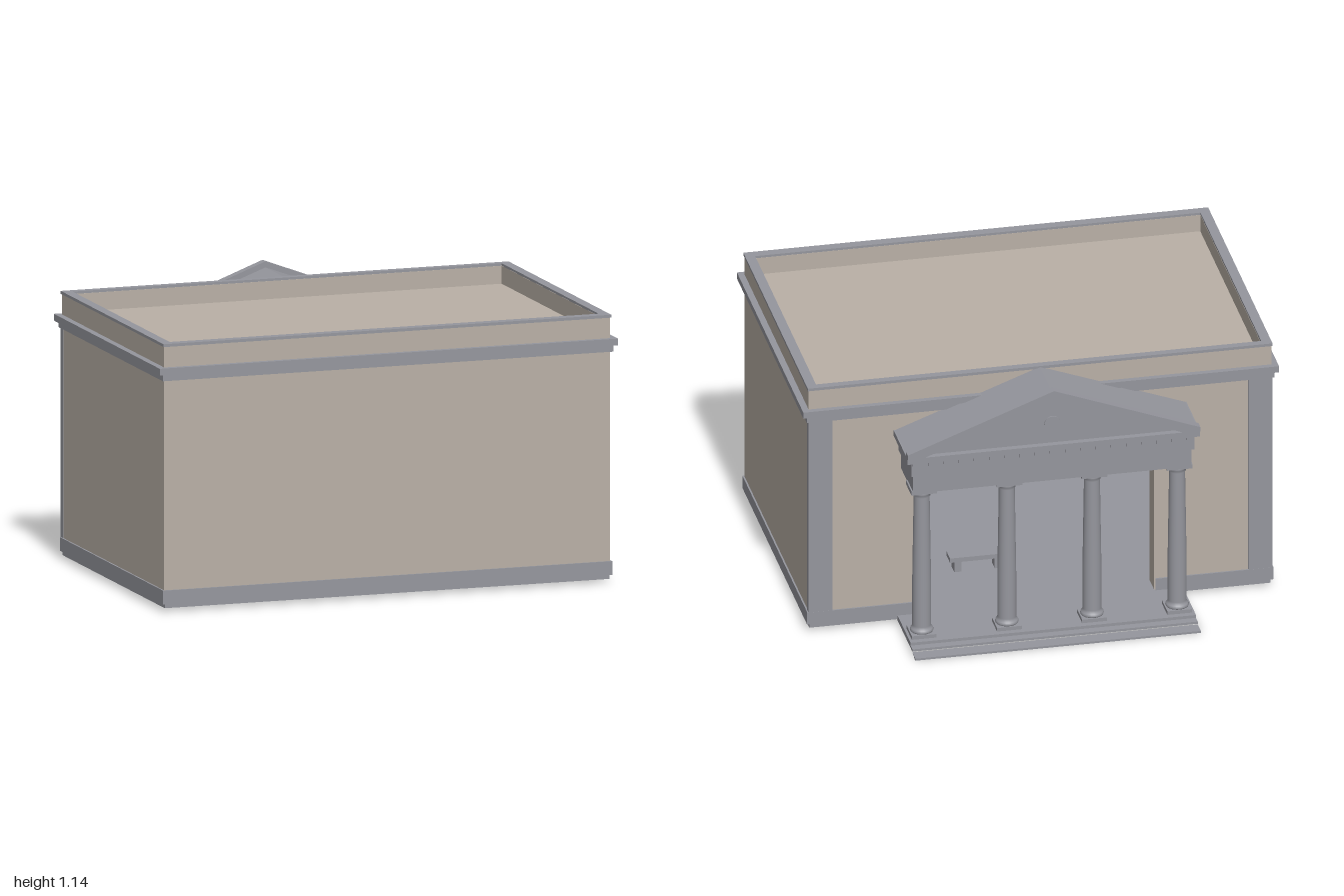
import * as THREE from 'three';

const mat = (name, color) => {
  const m = new THREE.MeshStandardMaterial({ color });
  m.name = name;
  return m;
};

export function createModel() {
  const model = new THREE.Group();
  model.name = 'porticoBuilding';
  const wall = mat('warm wall', 0xb9b0a6);
  const stone = mat('grey stone', 0x95969d);

  const add = (parent, name, geometry, material) => {
    const mesh = new THREE.Mesh(geometry, material);
    mesh.name = name;
    parent.add(mesh);
    return mesh;
  };
  // Box given by its limits on each axis
  const box = (parent, name, material, x0, x1, y0, y1, z0, z1) => {
    const mesh = add(parent, name, new THREE.BoxGeometry(x1 - x0, y1 - y0, z1 - z0), material);
    mesh.position.set((x0 + x1) / 2, (y0 + y1) / 2, (z0 + z1) / 2);
    return mesh;
  };
  const group = (name) => {
    const g = new THREE.Group();
    g.name = name;
    model.add(g);
    return g;
  };
  // Extrude an xy outline from z0 to z1
  const prism = (parent, name, material, points, z0, z1) => {
    const shape = new THREE.Shape(points.map(([x, y]) => new THREE.Vector2(x, y)));
    const geometry = new THREE.ExtrudeGeometry(shape, { depth: z1 - z0, bevelEnabled: false });
    return add(parent, name, geometry.translate(0, 0, z0), material);
  };

  // Main hall: hollow walls with a wide entrance at the back
  const hall = group('hall');
  const W = 0.973, zB = -0.462, zF = 0.79, door = 0.48;
  box(hall, 'frontWall', wall, -W, W, 0.035, 1.11, zF - 0.038, zF);
  for (const s of [-1, 1]) {
    const side = (name, material, a, b, ...rest) =>
      box(hall, name, material, Math.min(s * a, s * b), Math.max(s * a, s * b), ...rest);
    side('sideWall', wall, W - 0.038, W, 0.035, 1.11, zB, zF - 0.038);
    side('entranceWall', wall, door, W - 0.038, 0.035, 0.95, zB, zB + 0.09);
    side('cornerPilaster', stone, 0.875, W + 0.002, 0.09, 0.97, zB - 0.01, zB + 0.02);
    side('sidePlinth', stone, W - 0.02, 0.98, 0.033, 0.09, zB - 0.006, 0.797);
    side('entrancePlinth', stone, door + 0.005, 0.978, 0.033, 0.088, zB - 0.007, zB + 0.02);
    side('sideCoping', stone, 0.936, 0.977, 1.108, 1.12, -0.466, 0.794);
  }
  box(hall, 'entranceLintel', wall, -door, door, 0.76, 0.95, zB, zB + 0.09);
  box(hall, 'backParapet', wall, -W + 0.038, W - 0.038, 0.95, 1.11, zB, zB + 0.03);
  box(hall, 'frontPlinth', stone, -0.979, 0.979, 0.033, 0.09, zF - 0.02, 0.798);
  box(hall, 'frontCoping', stone, -0.936, 0.936, 1.108, 1.12, 0.753, 0.794);
  box(hall, 'backCoping', stone, -0.936, 0.936, 1.108, 1.12, -0.466, -0.434);
  box(hall, 'floorSlab', stone, -0.97, 0.97, 0.015, 0.035, zB, 0.79);
  box(hall, 'roof', wall, -0.95, 0.95, 0.94, 1.035, zB + 0.01, zF - 0.01);
  box(hall, 'corniceLower', stone, -0.983, 0.983, 0.967, 0.994, -0.476, 0.803);
  box(hall, 'corniceUpper', stone, -1, 1, 0.994, 1.022, -0.486, 0.813);

  // Ceiling beams inside
  const beams = group('ceilingBeams');
  for (const x of [-0.62, -0.21, 0.21, 0.62]) box(beams, 'longBeam', wall, x - 0.04, x + 0.04, 0.87, 0.945, -0.37, 0.75);
  for (const z of [-0.12, 0.16, 0.44]) box(beams, 'crossBeam', wall, -0.935, 0.935, 0.875, 0.945, z - 0.035, z + 0.035);

  // Furnishings seen through the entrance
  const furniture = group('furniture');
  const bench = (x, z) => {
    box(furniture, 'benchTop', stone, x - 0.12, x + 0.12, 0.085, 0.105, z - 0.035, z + 0.035);
    for (const s of [-1, 1]) {
      const c = x + s * 0.085;
      box(furniture, 'benchLeg', stone, c - 0.015, c + 0.015, 0.035, 0.085, z - 0.025, z + 0.025);
    }
  };
  bench(0.19, -0.11);
  bench(0.54, 0.46);
  box(furniture, 'pedestal', stone, 0.47, 0.57, 0.035, 0.14, -0.18, -0.1);
  add(furniture, 'globe', new THREE.SphereGeometry(0.045, 20, 12), stone).position.set(0.52, 0.18, -0.14);

  // Porch floor and steps
  const porch = group('porch');
  box(porch, 'porchFloor', stone, -0.6, 0.6, 0.015, 0.035, -0.722, zB);
  box(porch, 'middleStep', stone, -0.6, 0.6, 0.012, 0.022, -0.757, -0.46);
  box(porch, 'stepTread', stone, -0.6, 0.6, 0.006, 0.008, -0.79, -0.755);
  box(porch, 'lowestStep', stone, -0.6, 0.6, 0, 0.009, -0.817, -0.785);

  // Four columns with square base and abacus
  const profile = [
    [0, 0.05], [0.046, 0.05], [0.049, 0.057], [0.046, 0.065], [0.041, 0.07], [0.039, 0.08],
    [0.039, 0.28], [0.033, 0.672], [0.037, 0.676], [0.034, 0.682], [0.046, 0.702], [0, 0.702],
  ].map(([r, y]) => new THREE.Vector2(r, y));
  for (const x of [-0.537, -0.179, 0.179, 0.537]) {
    const column = group('column');
    column.position.set(x, 0, -0.645);
    add(column, 'shaft', new THREE.LatheGeometry(profile, 24), stone);
    box(column, 'columnBase', stone, -0.052, 0.052, 0.035, 0.051, -0.052, 0.052);
    box(column, 'abacus', stone, -0.054, 0.054, 0.701, 0.72, -0.054, 0.054);
  }

  // Stepped entablature with dentils
  const top = group('entablature');
  box(top, 'architrave', stone, -0.585, 0.585, 0.712, 0.795, -0.702, -0.455);
  box(top, 'frieze', stone, -0.595, 0.595, 0.795, 0.862, -0.712, -0.455);
  box(top, 'cornice', stone, -0.615, 0.615, 0.862, 0.888, -0.732, -0.455);
  for (let i = 0; i < 19; i++) {
    const x = -0.576 + i * 0.064;
    box(top, 'dentil', stone, x - 0.013, x + 0.013, 0.842, 0.862, -0.722, -0.71);
  }

  // Gabled roof, pediment and raking cornice
  const gable = group('gable');
  prism(gable, 'gableRoof', stone, [[-0.61, 0.888], [0.61, 0.888], [0, 1.115]], -0.706, -0.455);
  for (const s of [-1, 1]) {
    const pts = [[0, 1.14], [0, 1.1], [s * 0.55, 0.888], [s * 0.615, 0.888], [s * 0.615, 0.908]];
    prism(gable, 'rakingCornice', stone, pts, -0.738, -0.7);
  }
  const medallion = add(gable, 'medallion', new THREE.CylinderGeometry(0.035, 0.035, 0.008, 24), stone);
  medallion.rotation.x = Math.PI / 2;
  medallion.position.set(0, 0.975, -0.708);

  return model;
}
